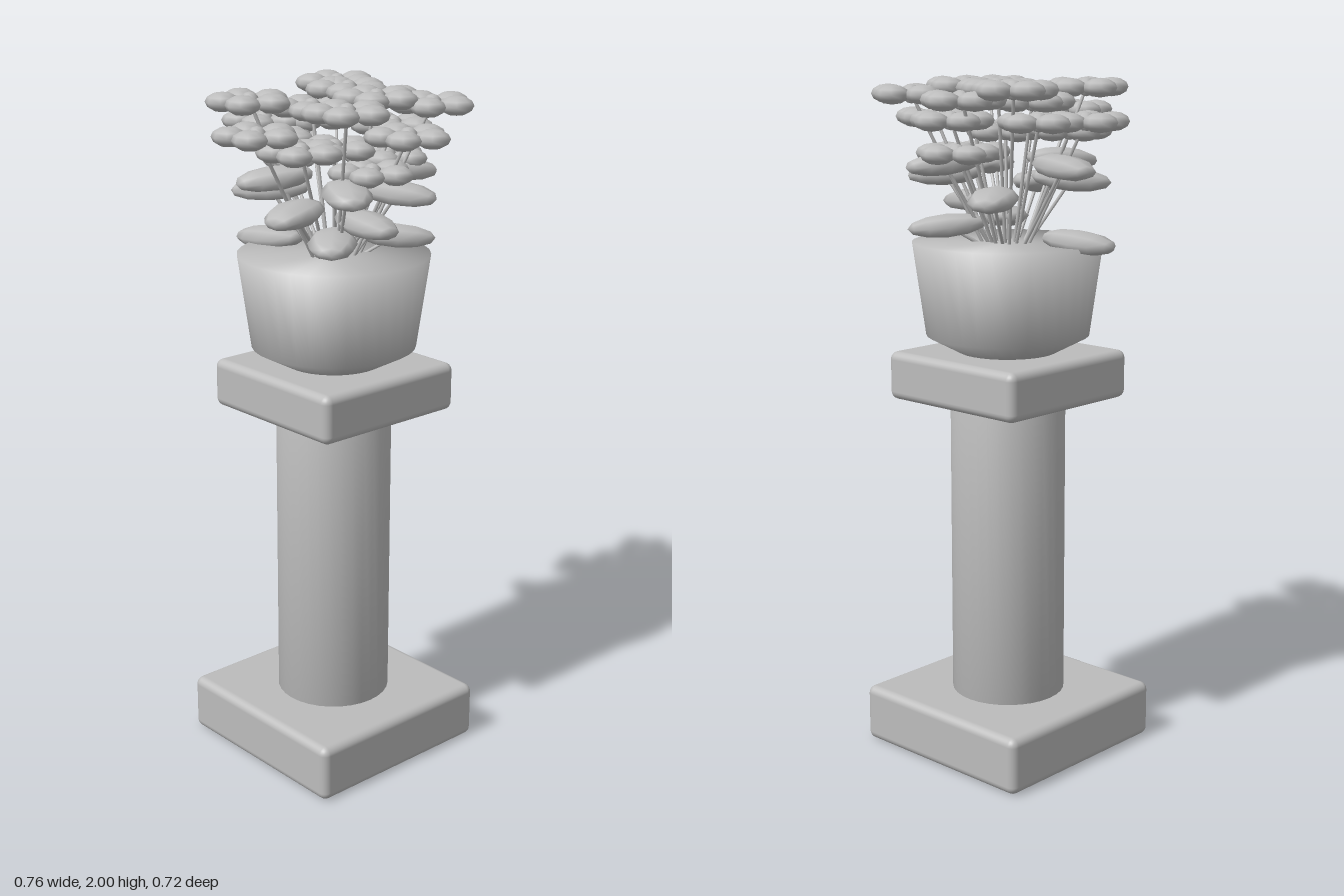
import * as THREE from 'three';
import { RoundedBoxGeometry } from 'three/addons/geometries/RoundedBoxGeometry.js';

const CX = 0.0125, CZ = 0.0225; // axis of the pedestal

export function createModel() {
  const stone = new THREE.MeshStandardMaterial({ color: 0xbcbcbc });
  stone.name = 'plainGrey';
  const model = new THREE.Group();
  model.name = 'flowerPotOnPedestal';

  const add = (parent, geometry, name, x = 0, y = 0, z = 0) => {
    const mesh = new THREE.Mesh(geometry, stone);
    mesh.name = name;
    mesh.position.set(x, y, z);
    parent.add(mesh);
    return mesh;
  };
  const turned = (profile) =>
    new THREE.LatheGeometry(profile.map(([r, y]) => new THREE.Vector2(r, y)), 32);

  // Pedestal
  add(model, new RoundedBoxGeometry(0.615, 0.17, 0.615, 3, 0.024), 'base', CX, 0.087, CZ);
  add(model, turned([[0, 0.15], [0.169, 0.15], [0.169, 1.09], [0, 1.09]]), 'column', CX, 0, CZ);
  add(model, new RoundedBoxGeometry(0.497, 0.142, 0.497, 3, 0.024), 'capital', CX, 1.141, CZ);

  // Pot, filled to the rim
  add(model, turned([[0, 1.2], [0.13, 1.205], [0.238, 1.262], [0.276, 1.533], [0, 1.533]]), 'pot', CX, 0, CZ);

  // Flower heads: x, y, z of each centre
  const heads = [
    [-0.192, 1.965, -0.094], [-0.27, 1.895, 0.03], [-0.176, 1.85, 0.1],
    [-0.131, 1.965, 0.233], [0.017, 1.93, -0.076], [0.144, 1.97, -0.064],
    [0.1, 1.88, -0.177], [0.214, 1.97, -0.189], [0.087, 1.97, 0.114],
    [0.198, 1.88, 0.064], [0.224, 1.95, 0.193], [0.087, 1.88, 0.24],
    [-0.033, 1.84, 0.074], [-0.023, 1.88, -0.239], [-0.07, 1.85, -0.14],
    [0.256, 1.94, -0.038], [0.19, 1.79, 0.05], [0.02, 1.78, 0.17],
  ];
  const petalGeo = new THREE.SphereGeometry(0.049, 8, 6).scale(1, 0.56, 1);
  const centreGeo = new THREE.SphereGeometry(0.027, 8, 6);
  const stemGeo = new THREE.CylinderGeometry(0.005, 0.005, 1, 6);
  const up = new THREE.Vector3(0, 1, 0);

  const addStem = (tip) => {
    const root = new THREE.Vector3(CX + (tip.x - CX) * 0.22, 1.5, CZ + (tip.z - CZ) * 0.22);
    const along = tip.clone().sub(root);
    const stem = add(model, stemGeo, 'stem');
    stem.position.copy(root).addScaledVector(along, 0.5);
    stem.scale.y = along.length();
    stem.quaternion.setFromUnitVectors(up, along.normalize());
  };

  for (const [x, y, z] of heads) {
    const flower = new THREE.Group();
    flower.name = 'flower';
    flower.position.set(x, y, z);
    add(flower, centreGeo, 'flowerCentre');
    for (let i = 0; i < 5; i++) {
      const a = (i / 5) * Math.PI * 2;
      add(flower, petalGeo, 'petal', 0.074 * Math.cos(a), 0, 0.074 * Math.sin(a));
    }
    model.add(flower);
    addStem(new THREE.Vector3(x, y, z));
  }

  // Leaves: x, y, z of each middle, pointing away from the pot's axis
  const leaves = [
    [-0.2, 1.685, 0.1], [0, 1.64, 0.17], [0.15, 1.58, 0.13], [0.18, 1.67, -0.08],
    [-0.03, 1.545, -0.21], [-0.1, 1.74, 0.2], [0.06, 1.76, -0.23], [-0.1, 1.71, -0.12],
    [0.19, 1.76, 0.1], [-0.08, 1.59, 0.12], [0.09, 1.72, 0.2], [-0.16, 1.76, -0.03],
  ];
  const leafGeo = new THREE.SphereGeometry(1, 8, 6).rotateZ(Math.PI / 2).scale(0.115, 0.034, 0.07);
  for (const [x, y, z] of leaves) {
    const leaf = add(model, leafGeo, 'leaf', x, y, z);
    leaf.rotation.set(0, -Math.atan2(z - CZ, x - CX), -0.08, 'YXZ');
    addStem(new THREE.Vector3(x, y, z));
  }
  return model;
}
